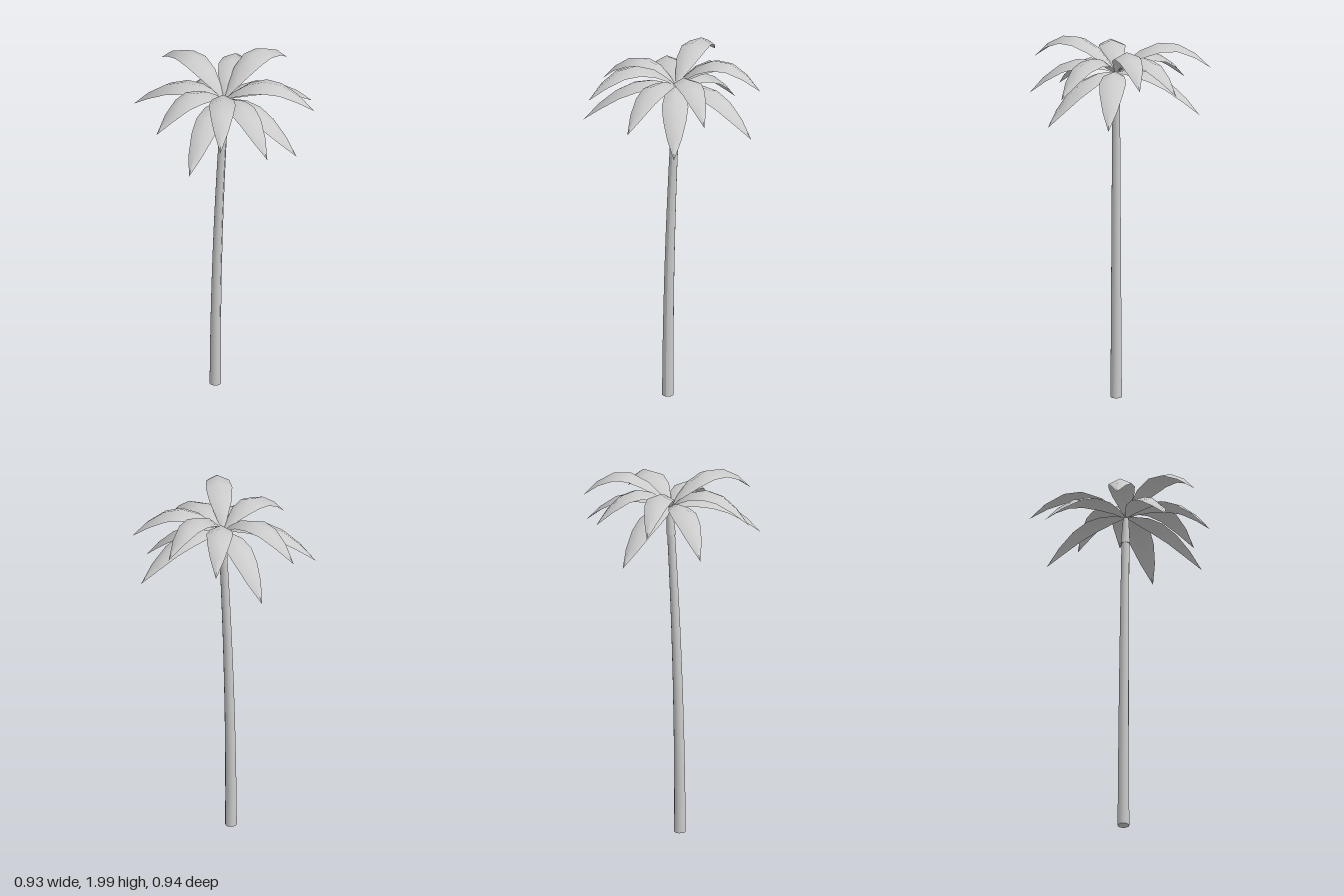
import * as THREE from 'three';

const HUB = new THREE.Vector3(-0.015, 1.81, 0.03);
const material = new THREE.MeshStandardMaterial({ color: 0xcccccc });
const leafMaterial = new THREE.MeshStandardMaterial({ color: 0xcccccc, side: THREE.DoubleSide });

// Centre line of the gently leaning trunk
function trunkCentre(y) {
  const k = (y / 1.68) ** 2;
  return [-0.065 + 0.05 * k, 0.015 + 0.014 * k];
}

// Cylinder between two heights, bent to follow the trunk line
function bentColumn(name, y0, y1, r0, r1, rows) {
  const g = new THREE.CylinderGeometry(r1, r0, y1 - y0, 12, rows);
  g.translate(0, (y0 + y1) / 2, 0);
  const p = g.attributes.position;
  for (let i = 0; i < p.count; i++) {
    const [cx, cz] = trunkCentre(p.getY(i));
    p.setX(i, p.getX(i) + cx);
    p.setZ(i, p.getZ(i) + cz);
  }
  g.computeVertexNormals();
  const mesh = new THREE.Mesh(g, material);
  mesh.name = name;
  return mesh;
}

// Position along the frond and half width there
const LEAF = [[0, 0.004], [0.1, 0.03], [0.25, 0.058], [0.45, 0.07], [0.65, 0.061], [0.84, 0.038], [1, 0]];

// Arching leaf, folded down along both edges
function frond(tip) {
  const lift = 0.1 + (tip.y - 1.58) * 0.24;
  const control = HUB.clone().add(tip).multiplyScalar(0.5);
  control.y += 2 * lift;
  const spine = new THREE.QuadraticBezierCurve3(HUB, control, tip);
  const side = new THREE.Vector3(HUB.z - tip.z, 0, tip.x - HUB.x).normalize();
  const positions = [], index = [];
  LEAF.forEach(([t, w], row) => {
    const c = spine.getPoint(t);
    const up = new THREE.Vector3().crossVectors(side, spine.getTangent(t));
    for (const s of [-1, 0, 1]) {
      const v = c.clone().addScaledVector(side, s * w).addScaledVector(up, -Math.abs(s) * w * 0.45);
      positions.push(v.x, v.y, v.z);
    }
    if (row === 0) return;
    for (let j = 0; j < 2; j++) {
      const a = (row - 1) * 3 + j, b = a + 3;
      index.push(a, b, a + 1, a + 1, b, b + 1);
    }
  });
  const g = new THREE.BufferGeometry();
  g.setAttribute('position', new THREE.Float32BufferAttribute(positions, 3));
  g.setIndex(index);
  g.computeVertexNormals();
  const mesh = new THREE.Mesh(g, leafMaterial);
  mesh.name = 'frond';
  return mesh;
}

// Tips of the twelve fronds
const TIPS = [
  [0.03, 1.81, -0.475], [0.175, 1.6, -0.375], [0.345, 1.77, -0.2],
  [0.455, 1.85, 0.03], [0.465, 1.65, 0.205], [0.275, 1.78, 0.41],
  [0.115, 1.58, 0.44], [-0.135, 1.7, 0.47], [-0.385, 1.82, 0.37],
  [-0.465, 1.63, 0.215], [-0.445, 1.76, -0.045], [-0.245, 1.68, -0.41],
];

export function createModel() {
  const model = new THREE.Group();
  model.name = 'palmTree';
  model.add(bentColumn('trunk', 0, 1.67, 0.031, 0.021, 10));
  model.add(bentColumn('crownShaft', 1.66, 1.81, 0.025, 0.015, 3));
  const crown = new THREE.Group();
  crown.name = 'crown';
  for (const tip of TIPS) crown.add(frond(new THREE.Vector3(...tip)));
  model.add(crown);
  return model;
}
